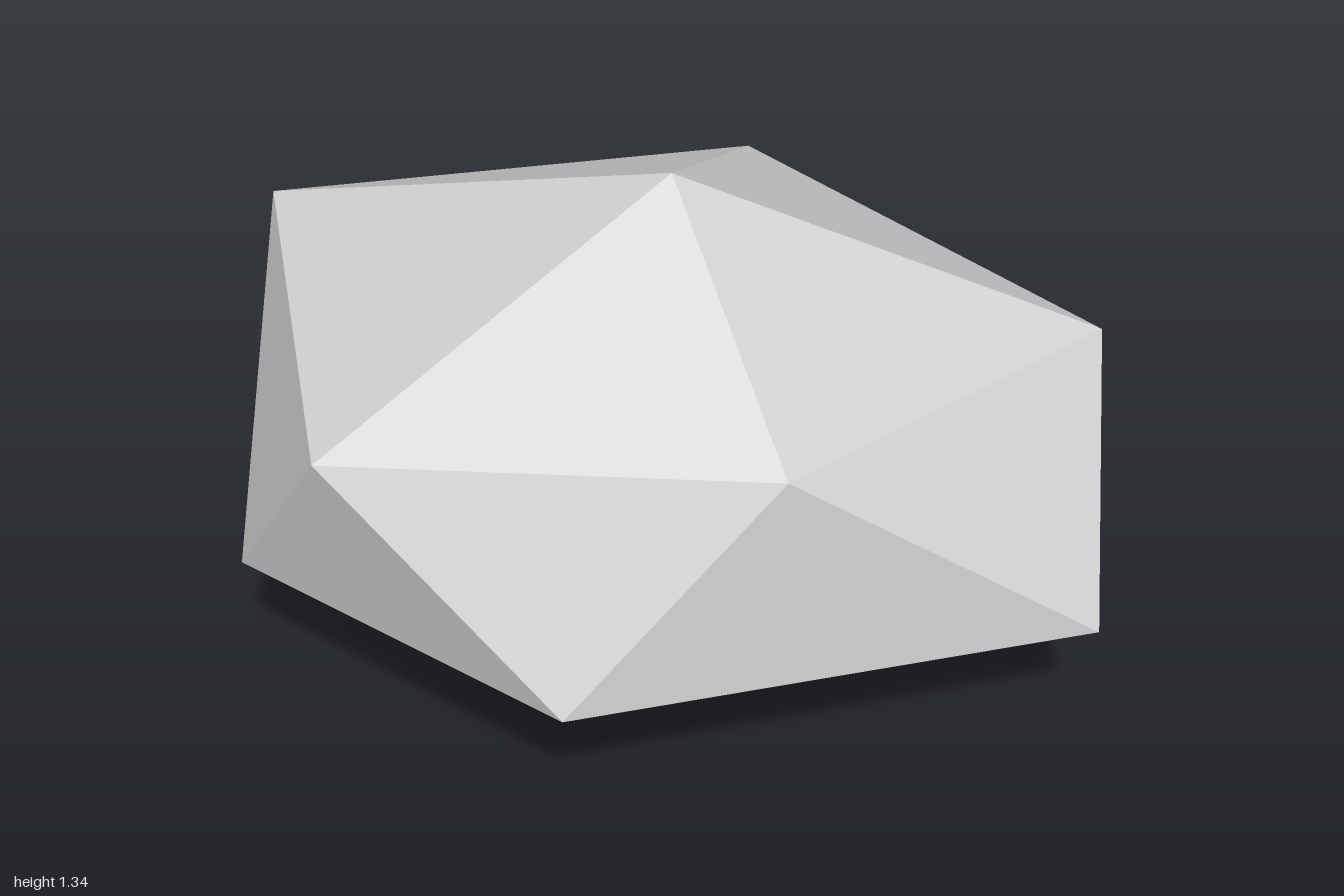
import * as THREE from 'three';

const stone = new THREE.MeshStandardMaterial({ color: 0xd4d4d4, flatShading: true });
stone.name = 'pale stone grey';

export function createModel() {
  const group = new THREE.Group();
  group.name = 'rock';

  // Uneven icosahedron: a peak, two staggered five-point rings and a foot
  const peak = [-0.01, 1.335, 0.175];
  const foot = [-0.225, 0, -0.085];
  const upper = [
    [0.165, 0.9, 0.72], [1, 0.8, 0.08], [0.29, 0.9, -0.695],
    [-0.88, 0.955, -0.515], [-0.81, 0.84, 0.455],
  ];
  const lower = [
    [0.895, 0.352, 0.62], [0.757, 0.225, -0.65], [-0.34, 0.327, -0.81],
    [-1, 0.367, 0.155], [-0.32, 0.382, 0.81],
  ];

  // Cap, two rows of side facets and underside, one fifth at a time
  const corners = [];
  for (let i = 0; i < 5; i++) {
    const j = (i + 1) % 5;
    corners.push(
      peak, upper[i], upper[j],
      upper[i], lower[i], upper[j],
      lower[i], lower[j], upper[j],
      foot, lower[j], lower[i],
    );
  }
  const geometry = new THREE.BufferGeometry();
  geometry.setAttribute('position', new THREE.Float32BufferAttribute(corners.flat(), 3));
  geometry.computeVertexNormals();

  const boulder = new THREE.Mesh(geometry, stone);
  boulder.name = 'boulder';
  group.add(boulder);
  return group;
}
